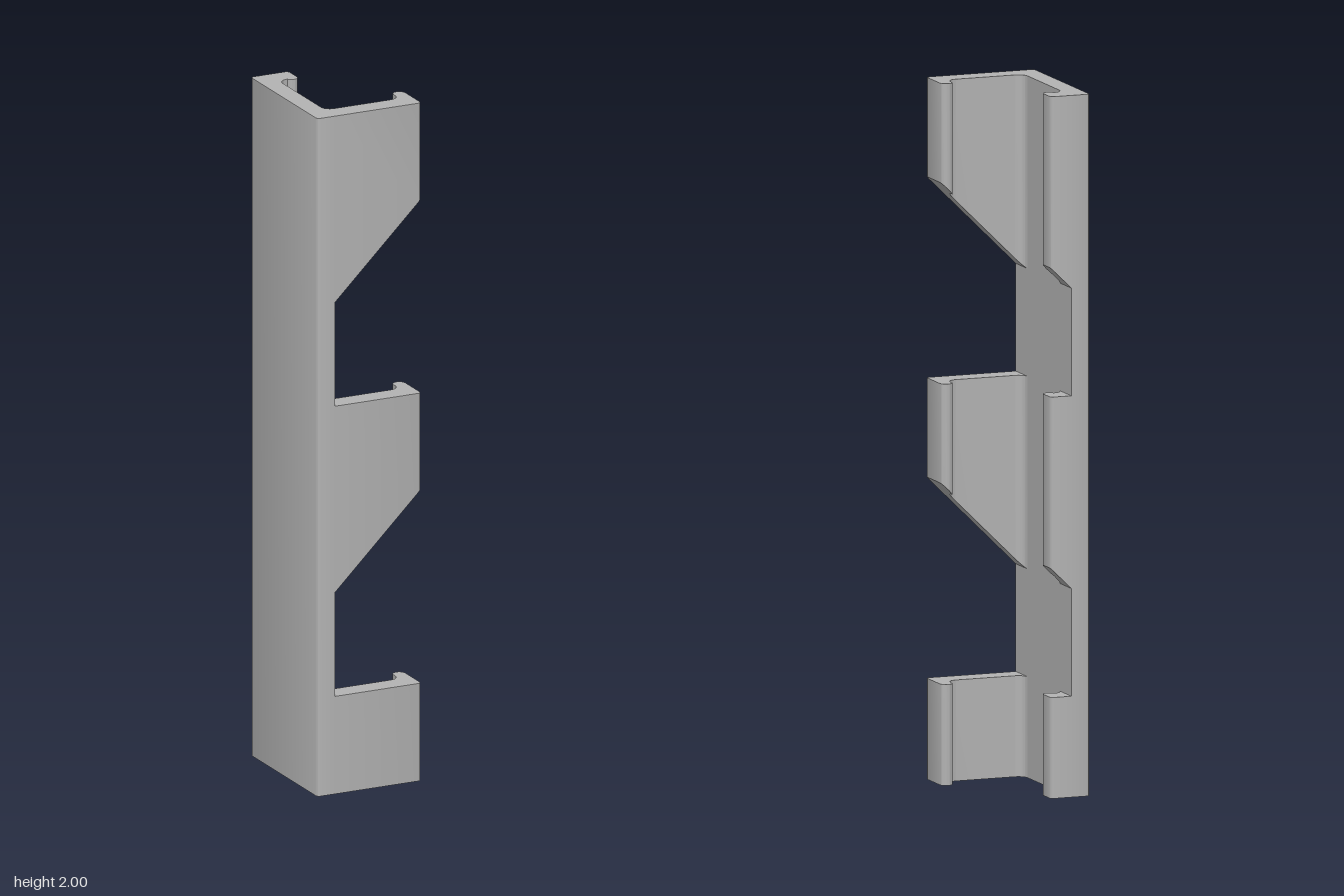
import * as THREE from 'three';
import { toCreasedNormals } from 'three/addons/utils/BufferGeometryUtils.js';

const INNER = -0.107; // inner face of the back web
const SLOPE = 0.985; // rise of the slanted cut per unit of x
const HALF_PI = Math.PI / 2;

// Cross-sections are drawn in x and -z, counter-clockwise.
function webShape() {
  const s = new THREE.Shape();
  s.moveTo(INNER, -0.21);
  s.lineTo(INNER, 0.21);
  s.lineTo(-0.153, 0.21);
  s.absarc(-0.153, 0.2, 0.01, HALF_PI, Math.PI, false);
  s.absarc(-0.153, -0.2, 0.01, Math.PI, 1.5 * Math.PI, false);
  s.closePath();
  return s;
}

function frontFlangeShape() {
  const s = new THREE.Shape();
  s.moveTo(INNER, -0.21);
  s.lineTo(0.153, -0.21);
  s.absarc(0.153, -0.2, 0.01, -HALF_PI, 0, false);
  s.absarc(0.1445, -0.108, 0.0185, 0, Math.PI, false); // rounded lip
  s.absarc(0.098, -0.119, 0.028, 0, -HALF_PI, true); // inner fillets
  s.absarc(-0.079, -0.119, 0.028, -HALF_PI, -Math.PI, true);
  s.closePath();
  return s;
}

function backFlangeShape() {
  const s = new THREE.Shape();
  s.moveTo(INNER, 0.21);
  s.lineTo(INNER, 0.12);
  s.absarc(-0.079, 0.12, 0.028, Math.PI, HALF_PI, true); // inner fillet
  s.absarc(-0.0625, 0.155, 0.0175, Math.PI + 0.41, 2 * Math.PI, false); // rounded lip
  s.absarc(-0.055, 0.2, 0.01, 0, HALF_PI, false);
  s.closePath();
  return s;
}

// Extrudes a section upwards from y0 to y1, with an optional slanted underside.
function extrudeUp(shape, y0, y1, slanted) {
  const geo = new THREE.ExtrudeGeometry(shape, { depth: y1 - y0, bevelEnabled: false, curveSegments: 10 });
  geo.rotateX(-HALF_PI);
  geo.translate(0, y0, 0);
  if (slanted) {
    const p = geo.attributes.position;
    const mid = (y0 + y1) / 2;
    for (let i = 0; i < p.count; i++) {
      if (p.getY(i) < mid) p.setY(i, y0 + SLOPE * (p.getX(i) - INNER));
    }
  }
  return toCreasedNormals(geo, 0.5);
}

export function createModel() {
  const model = new THREE.Group();
  model.name = 'notchedChannel';
  const grey = new THREE.MeshStandardMaterial({ color: 0xb3b3b3 });
  grey.name = 'grey';

  const add = (name, geo) => {
    const mesh = new THREE.Mesh(geo, grey);
    mesh.name = name;
    model.add(mesh);
  };

  // Full-height web
  add('web', extrudeUp(webShape(), 0, 2, false));

  // Flanges, interrupted by two notches
  const segments = [
    ['lower', 0, 0.288, false],
    ['middle', 0.595, 1.144, true],
    ['upper', 1.451, 2, true],
  ];
  for (const [name, y0, y1, slanted] of segments) {
    add(name + 'FrontFlange', extrudeUp(frontFlangeShape(), y0, y1, slanted));
    add(name + 'BackFlange', extrudeUp(backFlangeShape(), y0, y1, slanted));
  }
  return model;
}
